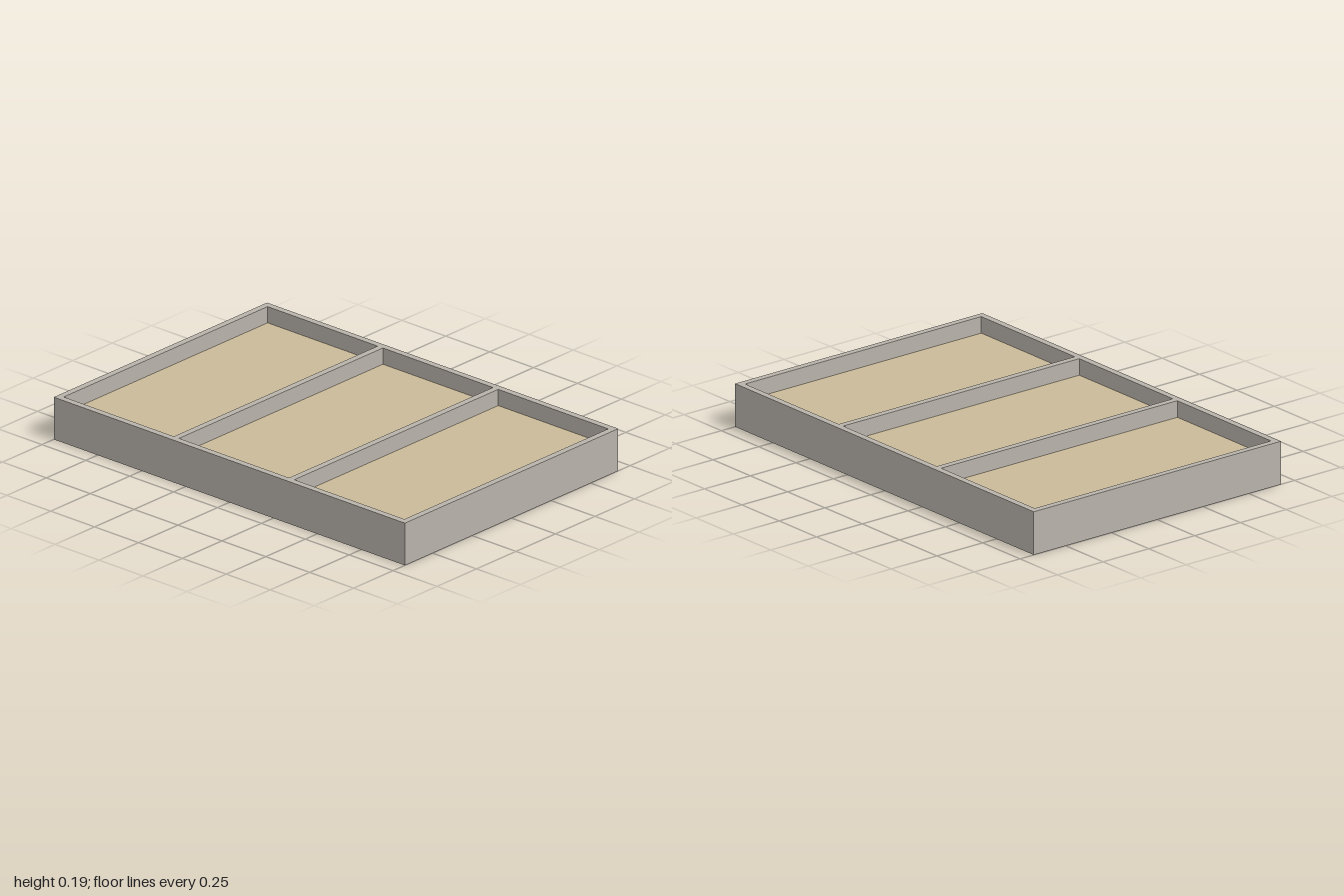
import * as THREE from 'three';

const WIDTH = 2, DEPTH = 1.35, HEIGHT = 0.195;
const WALL = 0.03, FLOOR = 0.12, LINER = 0.006, CELLS = 3;
const CELL_W = (WIDTH - WALL * (CELLS + 1)) / CELLS;
const CELL_D = DEPTH - WALL * 2;

const cellX = (i) => (i - (CELLS - 1) / 2) * (CELL_W + WALL);

// Rectangle outline centred on (cx, 0)
function trace(path, cx, w, d) {
  path.moveTo(cx - w / 2, -d / 2);
  path.lineTo(cx + w / 2, -d / 2);
  path.lineTo(cx + w / 2, d / 2);
  path.lineTo(cx - w / 2, d / 2);
  path.closePath();
  return path;
}

export function createModel() {
  const tray = new THREE.Group();
  tray.name = 'dividedTray';

  const grey = new THREE.MeshStandardMaterial({ color: 0xb8b2aa });
  grey.name = 'warm grey';
  const tan = new THREE.MeshStandardMaterial({ color: 0xc9ba98 });
  tan.name = 'tan';

  // Solid base under the compartments
  const baseHeight = FLOOR - LINER;
  const base = new THREE.Mesh(new THREE.BoxGeometry(WIDTH, baseHeight, DEPTH), grey);
  base.name = 'base';
  base.position.y = baseHeight / 2;
  tray.add(base);

  // Outer walls and dividers in one piece, open over each compartment
  const outline = trace(new THREE.Shape(), 0, WIDTH, DEPTH);
  for (let i = 0; i < CELLS; i++) {
    outline.holes.push(trace(new THREE.Path(), cellX(i), CELL_W, CELL_D));
  }
  const wallGeometry = new THREE.ExtrudeGeometry(outline, {
    depth: HEIGHT - baseHeight,
    bevelEnabled: false,
  });
  wallGeometry.rotateX(-Math.PI / 2);
  const walls = new THREE.Mesh(wallGeometry, grey);
  walls.name = 'wallsAndDividers';
  walls.position.y = baseHeight;
  tray.add(walls);

  // Thin tan floor in each compartment
  for (let i = 0; i < CELLS; i++) {
    const floor = new THREE.Mesh(new THREE.BoxGeometry(CELL_W, LINER, CELL_D), tan);
    floor.name = `compartmentFloor${i + 1}`;
    floor.position.set(cellX(i), FLOOR - LINER / 2, 0);
    tray.add(floor);
  }

  return tray;
}
